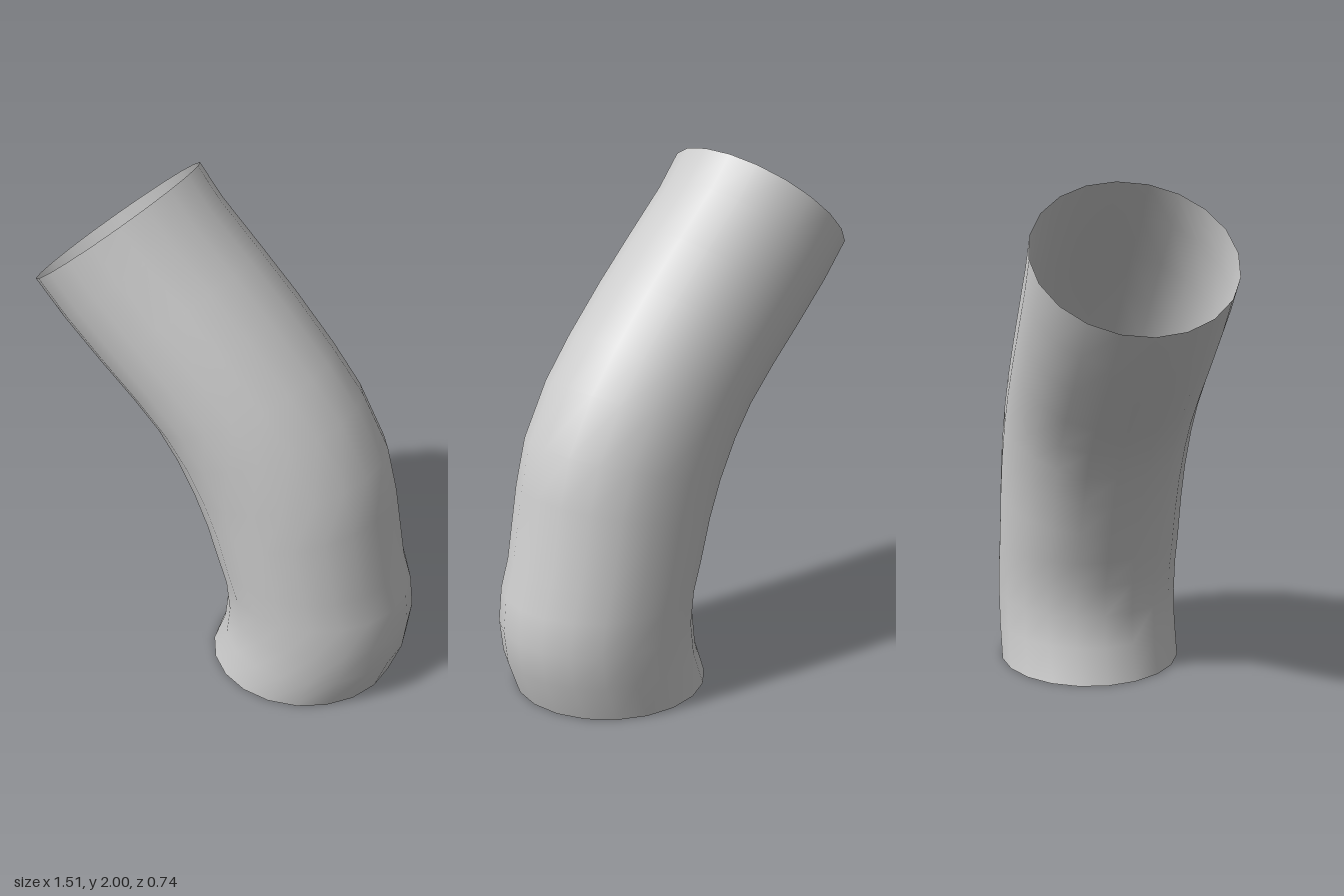
import * as THREE from 'three';
import { mergeVertices } from 'three/addons/utils/BufferGeometryUtils.js';

const SIDES = 20;
const RADIUS = 0.37;

// Rings from bottom to top: inner edge x, y, then outer edge x, y
const RINGS = [
  [-0.05, 0, 0.69, 0],
  [0, 0.14, 0.74, 0.14],
  [0.015, 0.27, 0.755, 0.27],
  [0, 0.4, 0.74, 0.4],
  [-0.035, 0.51, 0.705, 0.51],
  [-0.08, 0.64, 0.655, 0.81],
  [-0.135, 0.77, 0.61, 0.99],
  [-0.2, 0.9, 0.5, 1.2],
  [-0.27, 1.01, 0.38, 1.36],
  [-0.37, 1.12, 0.22, 1.55],
  [-0.5, 1.25, 0.07, 1.715],
  [-0.64, 1.4, -0.085, 1.88],
  [-0.755, 1.54, -0.175, 2],
];

export function createModel() {
  const group = new THREE.Group();
  group.name = 'bentPipe';
  const material = new THREE.MeshStandardMaterial({ color: 0xcccccc, side: THREE.DoubleSide });

  // Pipe wall: an open cylinder whose rings follow the bend
  const steps = RINGS.length - 1;
  let wall = new THREE.CylinderGeometry(1, 1, 1, SIDES, steps, true);
  const pos = wall.attributes.position;
  for (let i = 0; i < pos.count; i++) {
    const [ax, ay, bx, by] = RINGS[Math.round((pos.getY(i) + 0.5) * steps)];
    const t = (pos.getX(i) + 1) / 2;
    pos.setXYZ(i, ax + (bx - ax) * t, ay + (by - ay) * t, pos.getZ(i) * RADIUS);
  }
  // Weld the seam so that the shading is smooth all round
  wall.deleteAttribute('uv');
  wall.deleteAttribute('normal');
  wall = mergeVertices(wall, 1e-4);
  wall.computeVertexNormals();
  const pipe = new THREE.Mesh(wall, material);
  pipe.name = 'pipeWall';
  group.add(pipe);

  // Flat cap closing the bottom; the top stays open
  const cap = new THREE.Mesh(new THREE.CircleGeometry(RADIUS, SIDES).rotateX(Math.PI / 2), material);
  cap.position.x = (RINGS[0][0] + RINGS[0][2]) / 2;
  cap.name = 'bottomCap';
  group.add(cap);

  return group;
}
